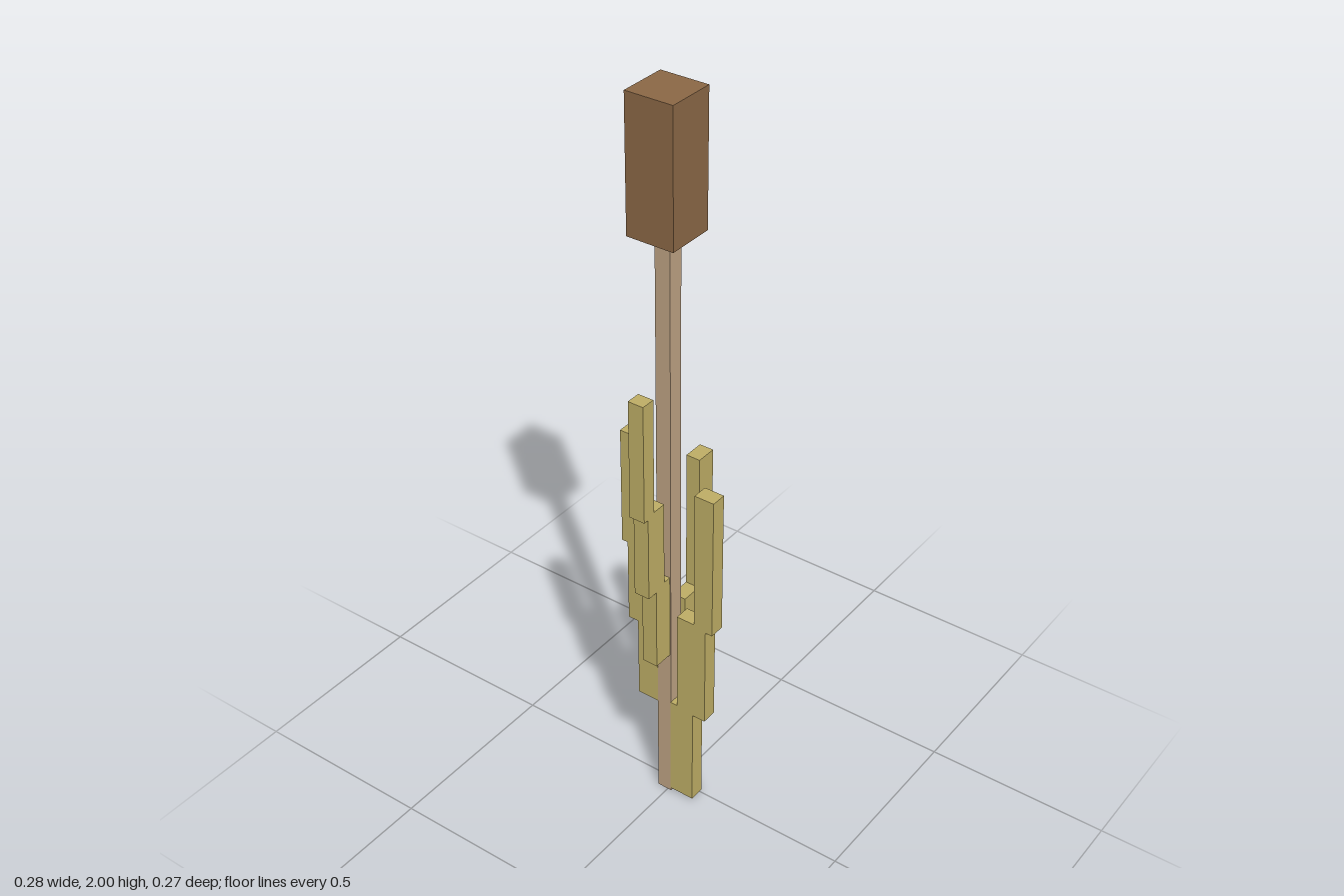
import * as THREE from 'three';

const material = (color) => new THREE.MeshStandardMaterial({ color, flatShading: true });

// Box from its min and max on each axis
function block(name, [x0, x1], [y0, y1], [z0, z1], mat) {
  const mesh = new THREE.Mesh(new THREE.BoxGeometry(x1 - x0, y1 - y0, z1 - z0), mat);
  mesh.position.set((x0 + x1) / 2, (y0 + y1) / 2, (z0 + z1) / 2);
  mesh.name = name;
  return mesh;
}

// Stepped leaf: each step is [inner, outer, bottom, top], running out along one axis
function leaf(name, axis, across, steps, mat) {
  const group = new THREE.Group();
  group.name = name;
  steps.forEach(([a, b, y0, y1], i) => {
    const out = [Math.min(a, b), Math.max(a, b)];
    const [x, z] = axis === 'x' ? [out, across] : [across, out];
    group.add(block(`${name}Step${i + 1}`, x, [y0, y1], z, mat));
  });
  return group;
}

export function createModel() {
  const model = new THREE.Group();
  model.name = 'reed';
  const leafMat = material(0xbfae66);

  // Stem and seed head
  model.add(block('stem', [-0.041, 0.001], [0, 1.66], [-0.031, 0.011], material(0xbea384)));
  model.add(block('seedHead', [-0.083, 0.045], [1.655, 2], [-0.077, 0.051], material(0x8b6846)));

  // Two broad leaves from the base
  model.add(leaf('leftLeaf', 'x', [-0.033, 0.006], [
    [0, 0.076, 0.01, 0.312], [0.026, 0.116, 0.303, 0.605], [0.084, 0.14, 0.595, 0.997],
  ], leafMat));
  model.add(leaf('frontLeaf', 'z', [-0.042, 0], [
    [0.01, 0.08, 0.01, 0.312], [0.031, 0.117, 0.303, 0.605], [0.082, 0.137, 0.595, 0.997],
  ], leafMat));

  // Two narrow leaves from higher up
  model.add(leaf('rightLeaf', 'x', [-0.035, 0.008], [
    [-0.04, -0.096, 0.47, 0.717], [-0.063, -0.126, 0.705, 0.953], [-0.102, -0.141, 0.943, 1.27],
  ], leafMat));
  model.add(leaf('backLeaf', 'z', [-0.042, 0], [
    [-0.03, -0.091, 0.297, 0.543], [-0.055, -0.12, 0.533, 0.78], [-0.099, -0.137, 0.77, 1.097],
  ], leafMat));

  return model;
}
